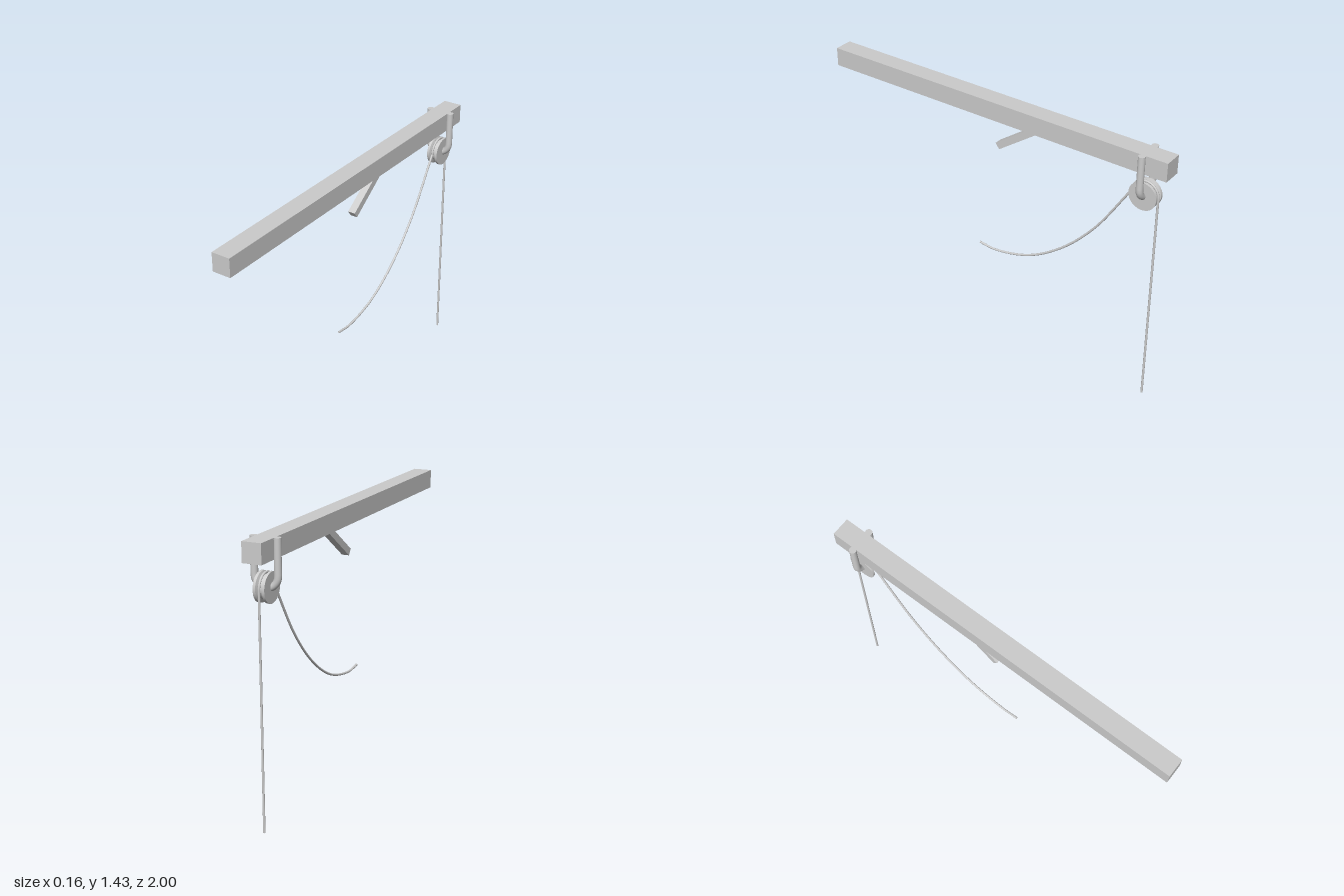
import * as THREE from 'three';

const V = (x, y, z) => new THREE.Vector3(x, y, z);

export function createModel() {
  const model = new THREE.Group();
  const material = new THREE.MeshStandardMaterial({ color: 0xcccccc });
  const add = (name, geometry, parent = model) => {
    const mesh = new THREE.Mesh(geometry, material);
    mesh.name = name;
    parent.add(mesh);
    return mesh;
  };

  // Tube along a path with flat discs closing both ends
  const cappedTube = (name, path, segments, radius, sides) => {
    const group = new THREE.Group();
    group.name = name;
    model.add(group);
    add(name + 'Body', new THREE.TubeGeometry(path, segments, radius, sides), group);
    for (const end of [0, 1]) {
      const cap = add(name + 'Cap', new THREE.CircleGeometry(radius, sides), group);
      const outward = path.getTangentAt(end).multiplyScalar(end ? 1 : -1);
      cap.position.copy(path.getPointAt(end));
      cap.quaternion.setFromUnitVectors(V(0, 0, 1), outward);
    }
  };

  const beamTop = 1.435, wheelY = 1.2, wheelZ = -0.87, wheelR = 0.075;

  // Long square beam
  add('beam', new THREE.BoxGeometry(0.1, 0.1, 2)).position.set(0, beamTop - 0.05, 0);

  // Short diagonal brace, its upper end sunk into the beam
  const low = V(0, 1.176, -0.027), high = V(0, 1.36, -0.286);
  const brace = add('brace', new THREE.BoxGeometry(0.04, 0.037, low.distanceTo(high)));
  brace.position.copy(low).add(high).multiplyScalar(0.5);
  brace.lookAt(high);

  // Grooved pulley wheel, axis along x
  const profile = [
    [0, -0.03], [wheelR, -0.03], [wheelR, -0.017], [0.058, -0.01],
    [0.058, 0.01], [wheelR, 0.017], [wheelR, 0.03], [0, 0.03],
  ];
  const wheel = new THREE.Group();
  wheel.name = 'pulleyWheel';
  wheel.position.set(0, wheelY, wheelZ);
  wheel.rotation.z = Math.PI / 2;
  model.add(wheel);
  // One lathe per profile edge keeps the rims crisp
  for (let i = 0; i < profile.length - 1; i++) {
    const edge = [profile[i], profile[i + 1]].map(([r, h]) => new THREE.Vector2(r, h));
    add('pulleySurface', new THREE.LatheGeometry(edge, 48), wheel);
  }

  // U-shaped hanger straddling the beam and carrying the wheel
  const hangR = 0.061, bendY = 1.256;
  const hangerPath = new THREE.CurvePath();
  hangerPath.add(new THREE.LineCurve3(V(-hangR, beamTop, wheelZ), V(-hangR, bendY, wheelZ)));
  const bend = [];
  for (let i = 0; i <= 16; i++) {
    const a = Math.PI * (1 + i / 16);
    bend.push(V(hangR * Math.cos(a), bendY + hangR * Math.sin(a), wheelZ));
  }
  hangerPath.add(new THREE.CatmullRomCurve3(bend));
  hangerPath.add(new THREE.LineCurve3(V(hangR, bendY, wheelZ), V(hangR, beamTop, wheelZ)));
  cappedTube('hanger', hangerPath, 64, 0.018, 20);

  // Rope: slack front length, turn over the wheel, straight drop at the back
  const ropeR = 0.006, wrapR = 0.07;
  const slack = new THREE.CatmullRomCurve3([
    V(0, 0.526, 0.1), V(0, 0.518, 0), V(0, 0.567, -0.206), V(0, 0.69, -0.403),
    V(0, 0.888, -0.596), V(0, wheelY, wheelZ + wrapR),
  ]);
  cappedTube('slackRope', slack, 60, ropeR, 10);
  const wrap = add('wrappedRope', new THREE.TorusGeometry(wrapR, ropeR, 10, 32, Math.PI));
  wrap.position.set(0, wheelY, wheelZ);
  wrap.rotation.y = Math.PI / 2;
  const drop = add('hangingRope', new THREE.CylinderGeometry(ropeR, ropeR, wheelY, 10));
  drop.position.set(0, wheelY / 2, wheelZ - wrapR);

  return model;
}
